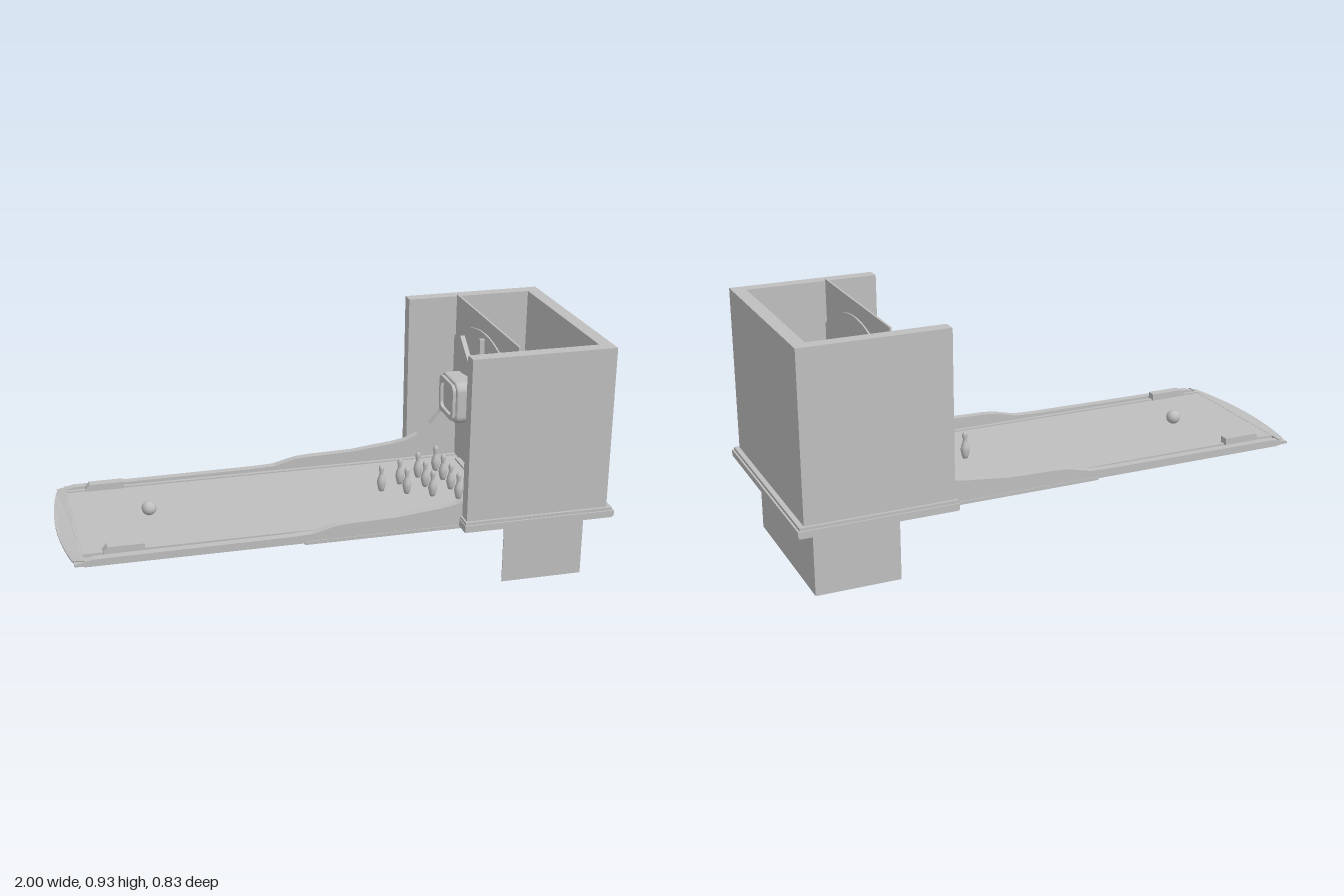
import * as THREE from 'three';

const grey = new THREE.MeshStandardMaterial({ color: 0xbfbfbf, side: THREE.DoubleSide });
grey.name = 'plain grey';

function add(parent, name, geometry, x = 0, y = 0, z = 0) {
  const mesh = new THREE.Mesh(geometry, grey);
  mesh.name = name;
  mesh.position.set(x, y, z);
  parent.add(mesh);
  return mesh;
}

const shapeOf = (pts) => new THREE.Shape(pts.map(([a, b]) => new THREE.Vector2(a, b)));

// Box given by its limits
function block(parent, name, x0, x1, y0, y1, z0, z1) {
  return add(parent, name, new THREE.BoxGeometry(x1 - x0, y1 - y0, z1 - z0),
    (x0 + x1) / 2, (y0 + y1) / 2, (z0 + z1) / 2);
}

// Horizontal slab with an outline in x and z
function slab(pts, y0, y1) {
  const g = new THREE.ExtrudeGeometry(shapeOf(pts), { depth: y1 - y0, bevelEnabled: false });
  return g.rotateX(Math.PI / 2).translate(0, y1, 0);
}

// U-shaped outline, open towards the lane
const uShape = (x0, xOut, zOut, xIn, zIn) => [
  [x0, -zOut], [xOut, -zOut], [xOut, zOut], [x0, zOut],
  [x0, zIn], [xIn, zIn], [xIn, -zIn], [x0, -zIn],
];

function buildHousing() {
  const g = new THREE.Group();
  g.name = 'pinHousing';
  add(g, 'housingWalls', slab(uShape(0.435, 0.975, 0.398, 0.925, 0.347), 0.29, 0.915));
  // Stepped trim around the foot of the walls
  add(g, 'trimBottom', slab(uShape(0.425, 0.995, 0.41, 0.925, 0.345), 0.262, 0.267));
  add(g, 'trimMiddle', slab(uShape(0.425, 1, 0.414, 0.925, 0.345), 0.267, 0.29));
  add(g, 'trimTop', slab(uShape(0.428, 0.993, 0.408, 0.925, 0.345), 0.29, 0.301));
  // Thin skirt below, open at the bottom and towards the lane
  add(g, 'lowerSkirt', slab(uShape(0.61, 0.923, 0.32, 0.919, 0.316), 0, 0.264));
  return g;
}

function buildLane() {
  const g = new THREE.Group();
  g.name = 'lane';
  add(g, 'laneBase', slab([[-0.93, -0.325], [0.61, -0.325], [0.61, 0.325], [-0.93, 0.325]], 0.249, 0.258));
  add(g, 'gutterFloor', slab([[-0.94, -0.335], [0.63, -0.335], [0.63, 0.335], [-0.94, 0.335]], 0.256, 0.267));
  block(g, 'laneSurface', -0.94, 0.62, 0.262, 0.277, -0.265, 0.265);

  // Curved approach, sloping down to a thin lip
  const tip = [];
  for (let i = -6; i <= 6; i++) {
    const z = i * 0.05;
    tip.push([-1 + 0.03 * (z / 0.3) ** 2, z]);
  }
  const approach = slab([[-0.93, -0.335], ...tip, [-0.93, 0.335]], 0.256, 0.278);
  const p = approach.attributes.position;
  for (let i = 0; i < p.count; i++) {
    if (p.getX(i) < -0.95) p.setY(i, p.getY(i) > 0.27 ? 0.267 : 0.261);
  }
  approach.computeVertexNormals();
  add(g, 'approach', approach);

  // Side rails that sweep up inside the housing
  const rail = [
    [-0.965, 0.258], [0.63, 0.258], [0.63, 0.56], [0.6, 0.51], [0.56, 0.45], [0.52, 0.405], [0.47, 0.365],
    [0.42, 0.345], [0.36, 0.335], [0.28, 0.327], [0.2, 0.318], [0.02, 0.314], [-0.03, 0.31], [-0.12, 0.288],
    [-0.2, 0.285], [-0.9, 0.281], [-0.965, 0.266],
  ];
  for (const s of [-1, 1]) {
    const side = s > 0 ? 'left' : 'right';
    const geo = new THREE.ExtrudeGeometry(shapeOf(rail), { depth: 0.03, bevelEnabled: false });
    add(g, side + 'Rail', geo, 0, 0, s > 0 ? 0.306 : -0.336);
    block(g, side + 'InnerLip', -0.93, 0.62, 0.262, 0.28, s * 0.278 - 0.007, s * 0.278 + 0.007);
    block(g, side + 'EndBracket', 0.63, 0.69, 0.25, 0.285, s * 0.3 - 0.028, s * 0.3 + 0.028);
    block(g, side + 'EdgeFoot', -0.15, 0.61, 0.249, 0.262, s * 0.33 - 0.009, s * 0.33 + 0.009);
    // Wedge-ended block beside the approach
    const guide = new THREE.ExtrudeGeometry(
      shapeOf([[-0.86, 0.27], [-0.715, 0.27], [-0.715, 0.303], [-0.845, 0.303], [-0.86, 0.285]]),
      { depth: 0.036, bevelEnabled: false });
    add(g, side + 'GuideBlock', guide, 0, 0, s * 0.279 - 0.018);
  }
  return g;
}

function buildBackPanel() {
  const g = new THREE.Group();
  g.name = 'backPanel';
  block(g, 'panel', 0.626, 0.634, 0.27, 0.925, -0.336, 0.336);
  // Arched mask, standing proud on both faces
  const arch = [[-0.335, 0.45]];
  for (let i = -8; i <= 8; i++) {
    const z = i / 8 * 0.335;
    arch.push([z, 0.87 - 0.11 * (z / 0.335) ** 2]);
  }
  arch.push([0.335, 0.45]);
  const geo = new THREE.ExtrudeGeometry(shapeOf(arch), { depth: 0.02, bevelEnabled: false });
  geo.rotateY(-Math.PI / 2);
  add(g, 'archedMask', geo, 0.64, 0, 0);
  block(g, 'lowerCrossStrip', 0.6, 0.62, 0.27, 0.285, -0.22, 0.22);

  // Bars fanning out behind the display: [z, y] ends
  const bars = [
    [0, 0.68, 0, 0.85], [0.05, 0.66, 0.22, 0.79], [-0.05, 0.66, -0.22, 0.79],
    [0.05, 0.6, 0.14, 0.5], [-0.05, 0.6, -0.14, 0.5],
  ];
  for (const [z0, y0, z1, y1] of bars) {
    const len = Math.hypot(z1 - z0, y1 - y0);
    const bar = add(g, 'supportBar', new THREE.BoxGeometry(0.018, len, 0.016), 0.611, (y0 + y1) / 2, (z0 + z1) / 2);
    bar.rotation.x = Math.atan2(z1 - z0, y1 - y0);
  }
  return g;
}

// Rounded rectangle in z and y
function roundedRect(w, h, r, Kind = THREE.Shape) {
  const s = new Kind();
  const x = w / 2 - r, y = h / 2 - r;
  s.absarc(x, y, r, 0, Math.PI / 2);
  s.absarc(-x, y, r, Math.PI / 2, Math.PI);
  s.absarc(-x, -y, r, Math.PI, Math.PI * 1.5);
  s.absarc(x, -y, r, Math.PI * 1.5, Math.PI * 2);
  s.closePath();
  return s;
}

function buildDisplay() {
  const g = new THREE.Group();
  g.name = 'display';
  const body = new THREE.ExtrudeGeometry(roundedRect(0.164, 0.144, 0.025),
    { depth: 0.05, bevelThickness: 0.008, bevelSize: 0.008, bevelSegments: 3, curveSegments: 5 });
  add(g, 'displayBody', body.rotateY(Math.PI / 2), 0.497, 0.63, 0);
  // Raised frame around the screen
  const frame = roundedRect(0.16, 0.14, 0.025);
  frame.holes.push(roundedRect(0.125, 0.105, 0.02, THREE.Path));
  const rim = new THREE.ExtrudeGeometry(frame, { depth: 0.015, bevelEnabled: false, curveSegments: 5 });
  add(g, 'displayFrame', rim.rotateY(Math.PI / 2), 0.477, 0.63, 0);
  // Tapered back
  const back = new THREE.CylinderGeometry(0.07, 0.115, 0.05, 4, 1).toNonIndexed();
  back.rotateY(Math.PI / 4).rotateZ(-Math.PI / 2).computeVertexNormals();
  add(g, 'displayBack', back, 0.578, 0.63, 0).scale.set(1, 0.88, 1);
  return g;
}

function buildPins() {
  const g = new THREE.Group();
  g.name = 'pins';
  const profile = [[0, 0], [0.009, 0], [0.013, 0.012], [0.017, 0.032], [0.015, 0.048], [0.009, 0.064],
    [0.0075, 0.074], [0.0105, 0.088], [0.009, 0.098], [0.005, 0.103], [0, 0.105]];
  const pin = new THREE.LatheGeometry(profile.map(([r, y]) => new THREE.Vector2(r, y)), 16);
  // Triangle of four rows
  for (let row = 0; row < 4; row++) {
    for (let i = 0; i <= row; i++) {
      add(g, 'pin', pin, 0.23 + row * 0.087, 0.276, (i - row / 2) * 0.093);
    }
  }
  return g;
}

export function createModel() {
  const model = new THREE.Group();
  model.name = 'bowlingLane';
  model.add(buildHousing(), buildLane(), buildBackPanel(), buildDisplay(), buildPins());
  add(model, 'ball', new THREE.SphereGeometry(0.027, 24, 16), -0.657, 0.302, 0);
  return model;
}
